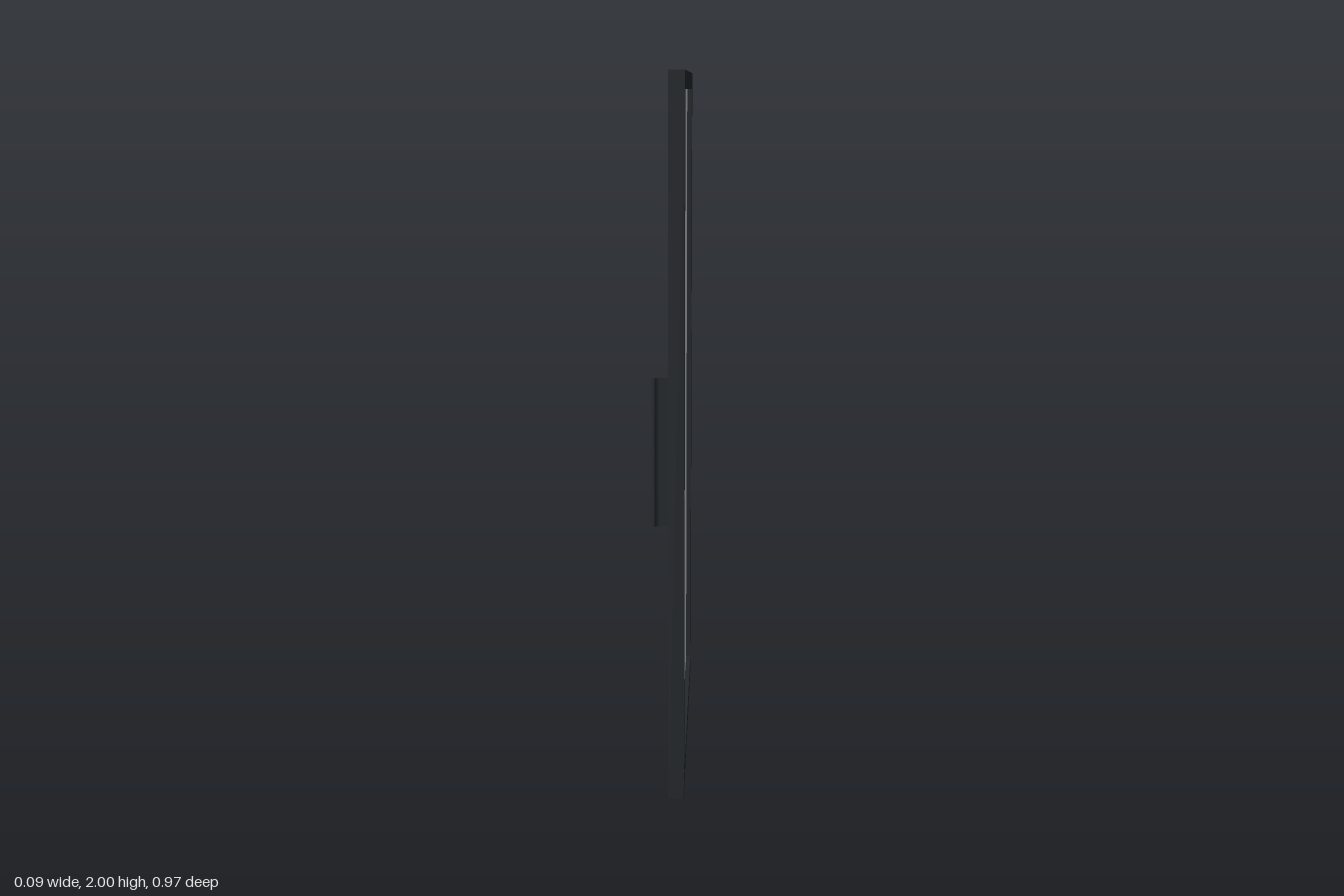
import * as THREE from 'three';

const H = 2, HALF = 0.487, DEPTH = 0.043;      // frame height, half width, thickness
const OPEN = { z0: -0.42, z1: 0.432, y0: 0.052, y1: 1.952 };

function rectPoints(x0, y0, x1, y1) {
  return [[x0, y0], [x1, y0], [x1, y1], [x0, y1]].map(([x, y]) => new THREE.Vector2(x, y));
}

export function createModel() {
  const model = new THREE.Group();
  const dark = new THREE.MeshStandardMaterial({ color: 0x23282c });
  const pane = new THREE.MeshStandardMaterial({ color: 0xcccccc });

  function add(name, geometry, material) {
    const mesh = new THREE.Mesh(geometry, material);
    mesh.name = name;
    model.add(mesh);
    return mesh;
  }

  // Frame: rectangle with a slightly off-centre opening, drawn in (-z, y), extruded along x
  const outline = new THREE.Shape(rectPoints(-HALF, 0, HALF, H));
  outline.holes.push(new THREE.Path(rectPoints(-OPEN.z1, OPEN.y0, -OPEN.z0, OPEN.y1)));
  const frame = new THREE.ExtrudeGeometry(outline, { depth: DEPTH, bevelEnabled: false });
  frame.rotateY(Math.PI / 2);
  add('frame', frame, dark);

  // Glass pane, recessed from both faces
  const glass = add('glass', new THREE.BoxGeometry(0.014, OPEN.y1 - OPEN.y0, OPEN.z1 - OPEN.z0), pane);
  glass.position.set(DEPTH / 2, (OPEN.y0 + OPEN.y1) / 2, (OPEN.z0 + OPEN.z1) / 2);

  // Curved pull handle: hooked profile drawn in (x, -z), extruded upwards
  const hook = new THREE.Shape();
  hook.moveTo(0, -0.443);
  hook.lineTo(-0.024, -0.456);
  hook.quadraticCurveTo(-0.034, -0.463, -0.044, -0.476);
  hook.lineTo(-0.037, -0.477);
  hook.quadraticCurveTo(-0.031, -0.468, -0.024, -0.468);
  hook.lineTo(0, -0.468);
  const handle = new THREE.ExtrudeGeometry(hook, { depth: 0.41, bevelEnabled: false, curveSegments: 6 });
  handle.rotateX(-Math.PI / 2);
  add('handle', handle, dark).position.y = 0.797;

  return model;
}
